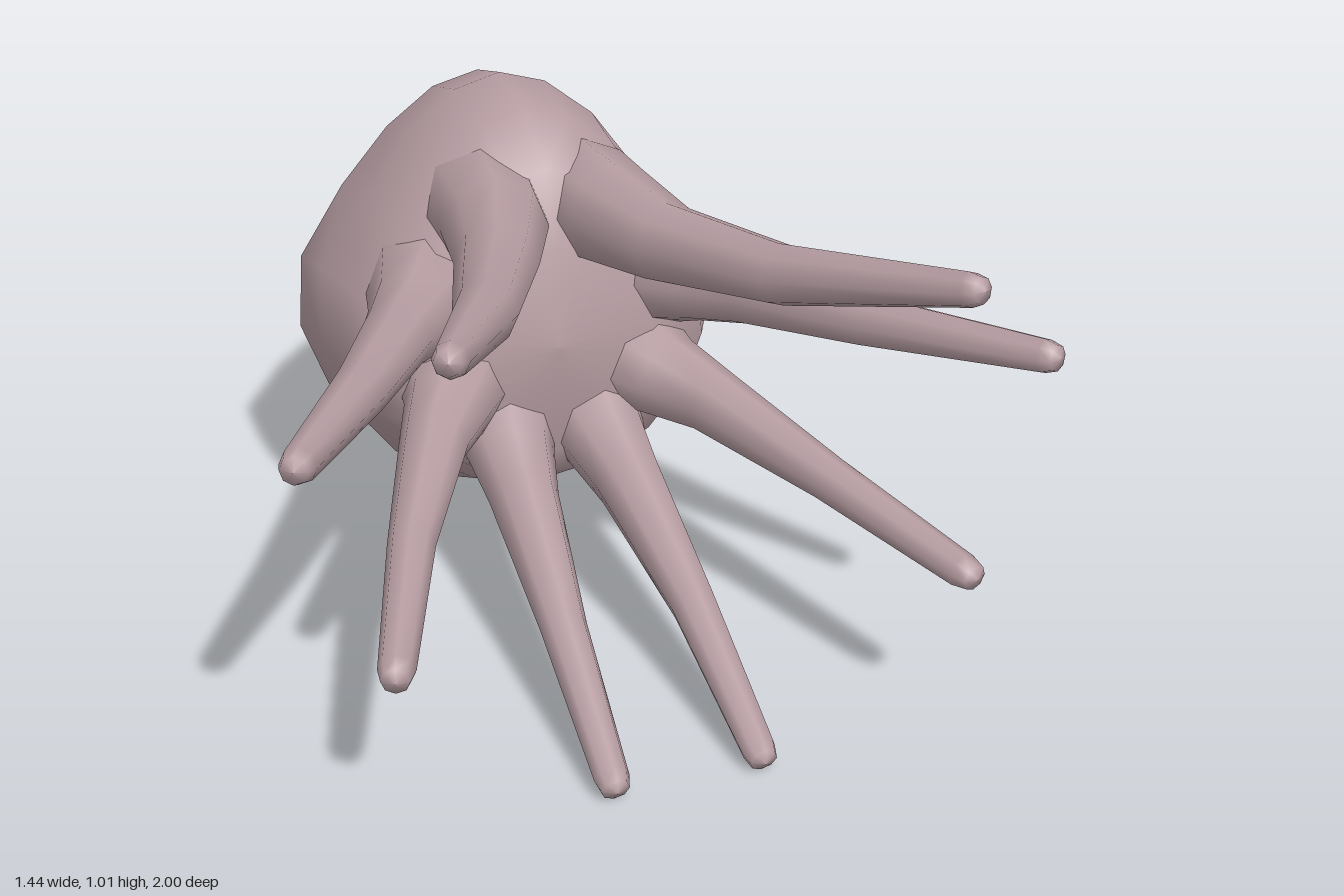
import * as THREE from 'three';

function makeMaterial(name, color) {
  const material = new THREE.MeshStandardMaterial({ color });
  material.name = name;
  return material;
}
const skin = makeMaterial('skin', 0xb69da2);
const paleBand = makeMaterial('pale band', 0xc3bca4);
const paleYellow = makeMaterial('pale yellow', 0xd2cb72);
const yellow = makeMaterial('yellow tip', 0xe4dc40);

// Joins rings of points into a smooth skin; bands[i] is the material index of strip i
function loft(rings, bands) {
  const n = rings[0].length;
  const index = [];
  const geo = new THREE.BufferGeometry().setFromPoints(rings.flat());
  for (let i = 0; i < rings.length - 1; i++) {
    if (bands) geo.addGroup(index.length, n * 6, bands[i]);
    for (let j = 0; j < n; j++) {
      const a = i * n + j, b = i * n + (j + 1) % n;
      index.push(a, a + n, b, b, a + n, b + n);
    }
  }
  geo.setIndex(index);
  geo.computeVertexNormals();
  return geo;
}

// Body: slanted oval sections [top z, top y, bottom z, bottom y, half width, forward bow, band], tail to face
function makeBody() {
  const sections = [
    [-1.0, 0.23, -1.0, 0.23, 0, 0, 3],
    [-0.985, 0.265, -0.965, 0.187, 0.035, 0, 3],
    [-0.92, 0.41, -0.83, 0.168, 0.125, 0.01, 3],
    [-0.89, 0.445, -0.755, 0.163, 0.16, 0.02, 2],
    [-0.875, 0.462, -0.72, 0.159, 0.18, 0.03, 1],
    [-0.85, 0.49, -0.68, 0.155, 0.205, 0.035, 0],
    [-0.74, 0.64, -0.6, 0.15, 0.26, 0.02, 0],
    [-0.58, 0.88, -0.37, 0.1, 0.41, 0, 0],
    [-0.45, 0.97, -0.25, 0.098, 0.455, 0, 0],
    [-0.28, 1.015, -0.14, 0.1, 0.44, 0, 0],
    [-0.1, 0.99, -0.02, 0.16, 0.41, 0, 0],
    [0.05, 0.91, 0.08, 0.22, 0.35, 0, 0],
    [0.11, 0.76, 0.13, 0.31, 0.22, 0, 0],
    [0.14, 0.55, 0.14, 0.55, 0, 0, 0]
  ];
  const sides = 18;
  const rings = sections.map(([tz, ty, bz, by, w, bow]) => {
    const ring = [];
    // the crown of the head is narrower than its base
    const taper = 0.38 * THREE.MathUtils.smoothstep(ty, 0.5, 0.9);
    for (let j = 0; j < sides; j++) {
      const a = j / sides * Math.PI * 2, c = Math.cos(a), s = Math.sin(a);
      let x = s * w * (1 - taper * Math.max(0, c - 0.08));
      const y = (ty + by) / 2 + c * (ty - by) / 2;
      const z = (tz + bz) / 2 + c * (tz - bz) / 2 + bow * s * s;
      // shallow eye hollow on each side of the head
      const d2 = (Math.abs(x) - 0.3) ** 2 + (y - 0.8) ** 2 + (z + 0.25) ** 2;
      x *= 1 - 0.08 * Math.exp(-d2 / 0.012);
      ring.push(new THREE.Vector3(x, y, z));
    }
    return ring;
  });
  const bands = sections.map((section) => section[6]);
  const body = new THREE.Mesh(loft(rings, bands), [skin, paleBand, paleYellow, yellow]);
  body.name = 'body';
  return body;
}

// Tentacle: tapered tube through stations [x, y, z, radius], flared where it leaves the face
function makeTentacle(stations, side, name) {
  const pts = stations.map(([x, y, z]) => new THREE.Vector3(x * side, y, z));
  const up = new THREE.Vector3(0, 1, 0);
  const sides = 8;
  const rings = pts.map((p, i) => {
    const t = pts[Math.min(i + 1, pts.length - 1)].clone().sub(pts[Math.max(i - 1, 0)]).normalize();
    const s = up.clone().cross(t).normalize();
    const u = t.clone().cross(s);
    return Array.from({ length: sides }, (_, j) => {
      const a = j / sides * Math.PI * 2, r = stations[i][3];
      return p.clone().addScaledVector(u, Math.cos(a) * r).addScaledVector(s, Math.sin(a) * r);
    });
  });
  const mesh = new THREE.Mesh(loft(rings), skin);
  mesh.name = name;
  return mesh;
}

const tentacles = {
  TopTentacle: [
    [0.1, 0.78, -0.2, 0.13], [0.11, 0.805, -0.04, 0.125], [0.125, 0.815, 0.1, 0.11], [0.175, 0.815, 0.28, 0.083],
    [0.285, 0.855, 0.58, 0.06], [0.455, 0.963, 0.97, 0.032], [0.466, 0.968, 0.99, 0.024], [0.468, 0.97, 1.0, 0]
  ],
  UpperTentacle: [
    [0.2, 0.63, -0.12, 0.15], [0.25, 0.65, 0.02, 0.125], [0.305, 0.662, 0.13, 0.093], [0.37, 0.675, 0.25, 0.072],
    [0.505, 0.705, 0.52, 0.053], [0.685, 0.757, 0.86, 0.033], [0.697, 0.76, 0.882, 0.025], [0.7, 0.761, 0.89, 0]
  ],
  LowerTentacle: [
    [0.15, 0.48, -0.12, 0.16], [0.19, 0.465, 0.03, 0.13], [0.24, 0.45, 0.14, 0.092], [0.3, 0.435, 0.25, 0.07],
    [0.425, 0.388, 0.55, 0.046], [0.54, 0.352, 0.89, 0.034], [0.55, 0.35, 0.92, 0.026], [0.552, 0.349, 0.928, 0]
  ],
  BottomTentacle: [
    [0.09, 0.42, -0.12, 0.15], [0.095, 0.365, 0.02, 0.125], [0.105, 0.318, 0.14, 0.092], [0.115, 0.28, 0.26, 0.073],
    [0.135, 0.168, 0.58, 0.047], [0.145, 0.038, 0.89, 0.034], [0.146, 0.028, 0.915, 0.027], [0.146, 0.026, 0.925, 0]
  ]
};

export function createModel() {
  const model = new THREE.Group();
  model.name = 'octopus';
  model.add(makeBody());
  for (const [name, stations] of Object.entries(tentacles)) {
    model.add(makeTentacle(stations, 1, 'left' + name));
    model.add(makeTentacle(stations, -1, 'right' + name));
  }
  return model;
}
